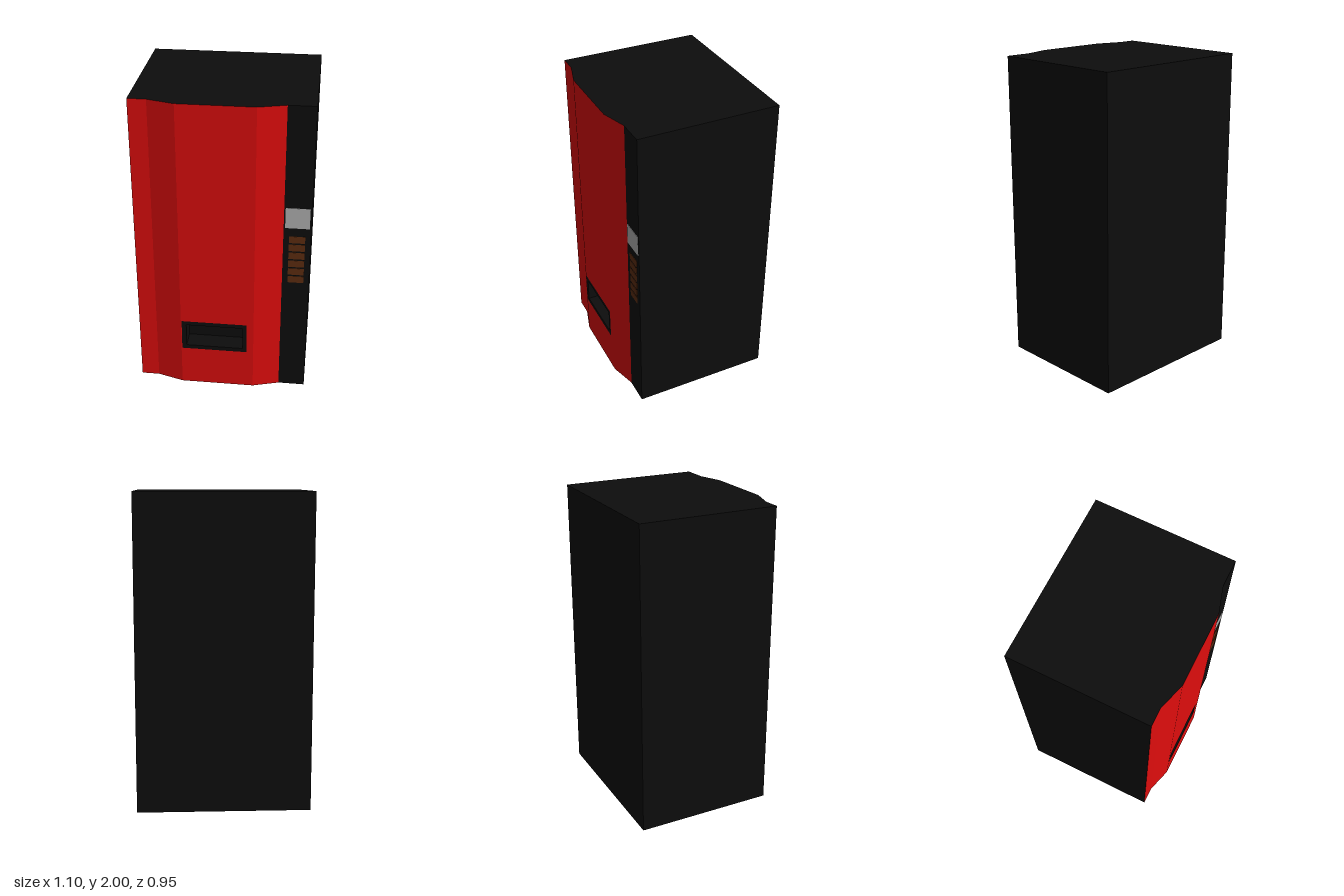
import * as THREE from 'three';

const H = 2, FRONT = 0.475, SIDE = 0.425, BACK = -0.475;

const paint = (color) => new THREE.MeshStandardMaterial({ color, flatShading: true, side: THREE.DoubleSide });

// Joins four-cornered faces (counter-clockwise seen from outside) into one geometry
function quads(list) {
  const pos = [];
  for (const [a, b, c, d] of list) pos.push(...a, ...b, ...c, ...a, ...c, ...d);
  const g = new THREE.BufferGeometry();
  g.setAttribute('position', new THREE.Float32BufferAttribute(pos, 3));
  g.computeVertexNormals();
  return g;
}

// Full-height wall between two plan points [x, z]
const wall = ([ax, az], [bx, bz]) => [[ax, 0, az], [bx, 0, bz], [bx, H, bz], [ax, H, az]];

// Rectangle outline, as a Shape or as a hole Path
function rect(x0, x1, y0, y1, Type = THREE.Shape) {
  return new Type([[x0, y0], [x1, y0], [x1, y1], [x0, y1]].map(([x, y]) => new THREE.Vector2(x, y)));
}

export function createModel() {
  const group = new THREE.Group();
  const black = paint(0x0d0d0d), red = paint(0xe00d0d), silver = paint(0xb4b4b4), brown = paint(0x602e10);
  const add = (name, geometry, material, x = 0, y = 0, z = 0) => {
    const m = new THREE.Mesh(geometry, material);
    m.name = name;
    m.position.set(x, y, z);
    group.add(m);
    return m;
  };

  // Plan outline: bulging front from left to right, then around the back
  const plan = [
    [-0.55, SIDE], [-0.435, SIDE], [-0.265, FRONT], [0.21, FRONT], [0.38, SIDE],
    [0.55, SIDE], [0.55, BACK], [-0.55, BACK],
  ];

  // Cabinet: control column, sides and back
  add('cabinetWalls', quads([4, 5, 6, 7].map((i) => wall(plan[i], plan[(i + 1) % 8]))), black);

  // Top and bottom share the plan outline
  const footprint = new THREE.Shape(plan.map(([x, z]) => new THREE.Vector2(x, -z)));
  add('cabinetTop', new THREE.ShapeGeometry(footprint).rotateX(-Math.PI / 2), black, 0, H);
  const under = new THREE.ShapeGeometry(footprint).rotateX(-Math.PI / 2);
  under.setIndex(Array.from(under.index.array).reverse());
  under.computeVertexNormals();
  add('cabinetBottom', under, black);

  // Red door: edge and slanted panels, and a centre panel pierced for the hatch
  add('doorSidePanels', quads([0, 1, 3].map((i) => wall(plan[i], plan[i + 1]))), red);
  const centre = rect(-0.265, 0.21, 0, H);
  centre.holes.push(rect(-0.26, 0.165, 0.275, 0.49, THREE.Path));
  add('doorCentrePanel', new THREE.ShapeGeometry(centre), red, 0, 0, FRONT);

  // Hatch: flush frame around a recess
  const [x0, x1, y0, y1] = [-0.23, 0.14, 0.303, 0.462];
  const frame = rect(-0.26, 0.165, 0.275, 0.49);
  frame.holes.push(rect(x0, x1, y0, y1, THREE.Path));
  add('hatchFrame', new THREE.ShapeGeometry(frame), black, 0, 0, FRONT);
  const rim = [[x0, y0], [x1, y0], [x1, y1], [x0, y1]];
  const deep = FRONT - 0.12;
  const recess = rim.map((p, i) => {
    const q = rim[(i + 1) % 4];
    return [[...p, FRONT], [...q, FRONT], [...q, deep], [...p, deep]];
  });
  recess.push(rim.map((p) => [...p, deep]));
  add('hatchRecess', quads(recess), black);

  // Payment plate and selection buttons on the control column
  add('paymentPlate', new THREE.BoxGeometry(0.15, 0.138, 0.004), silver, 0.464, 1.271, SIDE);
  const button = new THREE.BoxGeometry(0.1, 0.047, 0.004);
  for (let i = 0; i < 6; i++) add(`button${i + 1}`, button, brown, 0.465, 1.121 - i * 0.0573, SIDE);

  return group;
}
